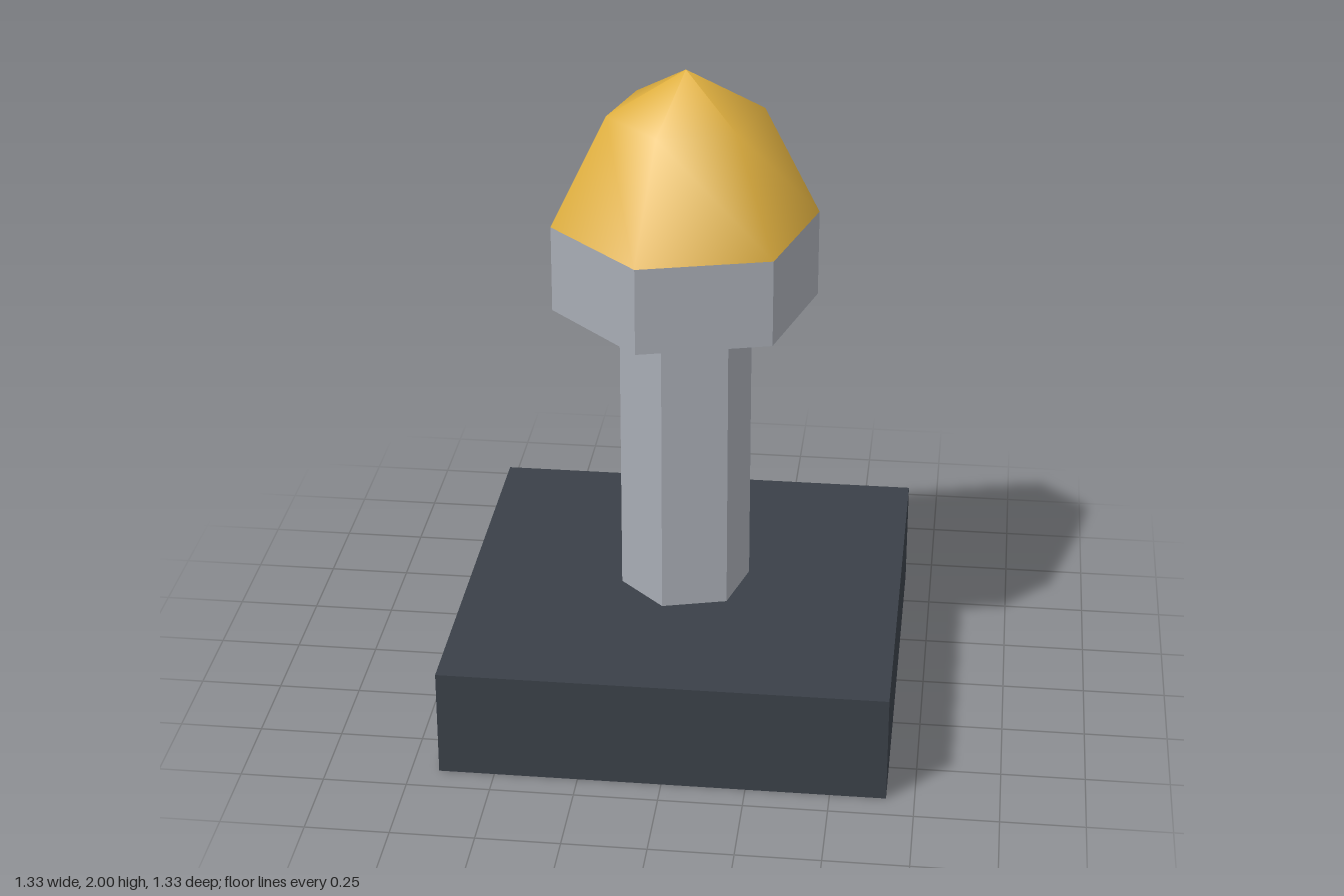
import * as THREE from 'three';

const HEX_TURN = Math.PI / 4; // puts one corner of every hexagon on the +x +z diagonal

function material(name, color) {
  const m = new THREE.MeshStandardMaterial({ color });
  m.name = name;
  return m;
}

// Six-sided prism with hard edges between two heights
function hexPrism(radius, bottom, top) {
  const g = new THREE.CylinderGeometry(radius, radius, top - bottom, 6, 1, false, HEX_TURN).toNonIndexed();
  g.computeVertexNormals();
  return g.translate(0, (bottom + top) / 2, 0);
}

export function createModel() {
  const group = new THREE.Group();
  const slate = material('dark slate', 0x3a4048);
  const grey = material('grey metal', 0xa8acb4);
  const gold = material('gold', 0xe0b040);

  const add = (name, geometry, mat) => {
    const mesh = new THREE.Mesh(geometry, mat);
    mesh.name = name;
    group.add(mesh);
  };

  // Square plinth
  add('base', new THREE.BoxGeometry(1.333, 0.333, 1.333).translate(0, 0.1665, 0), slate);

  // Hexagonal post and the wider collar it carries
  add('post', hexPrism(0.2, 0.333, 1.27), grey);
  add('collar', hexPrism(0.4, 1.27, 1.535), grey);

  // Smooth-shaded six-sided dome
  const profile = [[0.4, 1.535], [0.233, 1.87], [0, 2]].map(([r, y]) => new THREE.Vector2(r, y));
  add('dome', new THREE.LatheGeometry(profile, 6, HEX_TURN), gold);

  return group;
}
